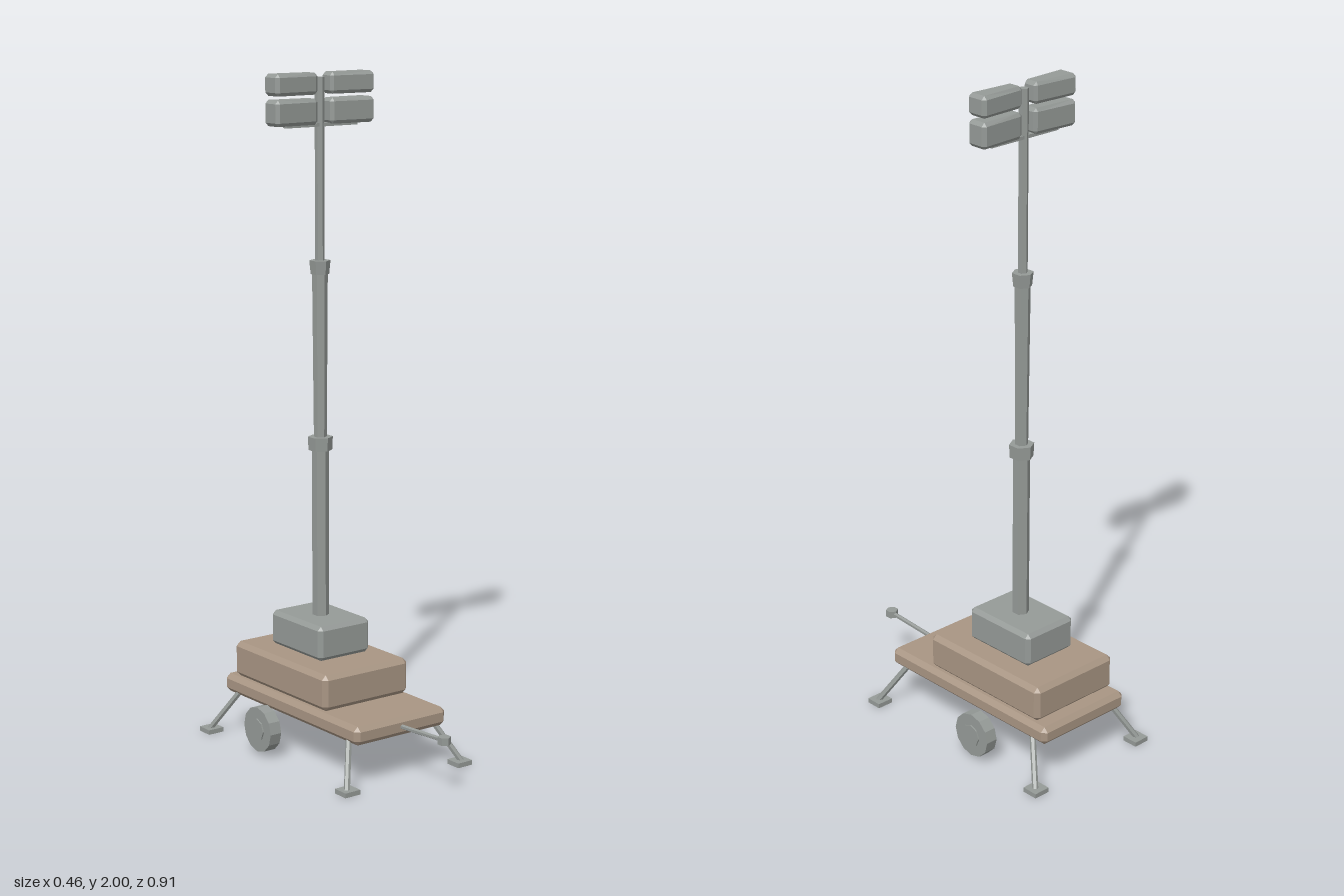
import * as THREE from 'three';
import { ConvexGeometry } from 'three/addons/geometries/ConvexGeometry.js';

const paint = new THREE.MeshStandardMaterial({ color: 0xa89583, flatShading: true });
paint.name = 'taupe paint';
const metal = new THREE.MeshStandardMaterial({ color: 0x959a97, flatShading: true });
metal.name = 'grey metal';

// Box with every edge cut at 45 degrees
function chamferBox(w, h, d, b) {
  const pts = [];
  for (const x of [-1, 1]) for (const y of [-1, 1]) for (const z of [-1, 1]) {
    const X = w / 2, Y = h / 2, Z = d / 2;
    pts.push(
      new THREE.Vector3(x * X, y * (Y - b), z * (Z - b)),
      new THREE.Vector3(x * (X - b), y * Y, z * (Z - b)),
      new THREE.Vector3(x * (X - b), y * (Y - b), z * Z));
  }
  return new ConvexGeometry(pts);
}

export function createModel() {
  const model = new THREE.Group();
  model.name = 'towable light tower';

  function add(name, geometry, material, x, y, z) {
    const mesh = new THREE.Mesh(geometry, material);
    mesh.name = name;
    mesh.position.set(x, y, z);
    model.add(mesh);
    return mesh;
  }

  // Straight bar between two points
  function bar(name, a, b, rA, rB, sides) {
    const from = new THREE.Vector3(...a), to = new THREE.Vector3(...b);
    const dir = to.clone().sub(from);
    const mid = from.clone().add(to).multiplyScalar(0.5);
    const mesh = add(name, new THREE.CylinderGeometry(rB, rA, dir.length(), sides), metal, mid.x, mid.y, mid.z);
    mesh.quaternion.setFromUnitVectors(new THREE.Vector3(0, 1, 0), dir.normalize());
    return mesh;
  }

  // Trailer body
  add('trailerDeck', chamferBox(0.33, 0.056, 0.665, 0.014), paint, 0, 0.153, -0.088);
  add('engineHousing', chamferBox(0.31, 0.108, 0.46, 0.014), paint, 0, 0.236, -0.15);
  add('mastBase', chamferBox(0.186, 0.104, 0.25, 0.012), metal, 0, 0.348, -0.151);

  // Telescopic mast: [name, bottom y, top y, bottom radius, top radius]
  const mastZ = -0.148;
  const sections = [
    ['lowerMast', 0.39, 0.91, 0.025, 0.025],
    ['lowerCollar', 0.9, 0.94, 0.035, 0.037],
    ['middleMast', 0.93, 1.43, 0.019, 0.023],
    ['upperCollar', 1.42, 1.46, 0.027, 0.031],
    ['upperMast', 1.45, 1.985, 0.014, 0.014],
  ];
  for (const [name, y0, y1, r0, r1] of sections) {
    add(name, new THREE.CylinderGeometry(r1, r0, y1 - y0, 6), metal, 0, (y0 + y1) / 2, mastZ);
  }

  // Lamp heads, thinner toward the mast
  add('lampCrossbar', new THREE.BoxGeometry(0.25, 0.01, 0.02), metal, 0.003, 1.85, mastZ);
  for (const side of [-1, 1]) {
    for (const [y, h] of [[1.968, 0.062], [1.889, 0.074]]) {
      const lamp = chamferBox(0.152, h, 0.068, 0.01);
      const p = lamp.attributes.position;
      for (let i = 0; i < p.count; i++) {
        const t = 0.5 - side * p.getX(i) / 0.152;
        p.setZ(i, p.getZ(i) * (1 - 0.3 * t));
      }
      lamp.computeVertexNormals();
      add('lampHead', lamp, metal, side * 0.098, y, -0.145);
    }
  }

  // Wheels with hubs on both faces
  for (const side of [-1, 1]) {
    const wheel = add('wheel', new THREE.CylinderGeometry(0.068, 0.068, 0.038, 12), metal, side * 0.199, 0.078, -0.17);
    const hub = add('wheelHub', new THREE.CylinderGeometry(0.034, 0.034, 0.048, 8), metal, side * 0.198, 0.078, -0.17);
    wheel.rotation.z = hub.rotation.z = Math.PI / 2;
  }

  // Outriggers and ground pads
  for (const side of [-1, 1]) {
    for (const [zTop, zFoot, zPad] of [[-0.36, -0.432, -0.431], [0.19, 0.258, 0.256]]) {
      bar('outriggerLeg', [side * 0.152, 0.13, zTop], [side * 0.21, 0.01, zFoot], 0.009, 0.009, 6);
      add('outriggerPad', new THREE.BoxGeometry(0.052, 0.014, 0.05), metal, side * 0.206, 0.007, zPad);
    }
  }

  // Drawbar and hitch
  bar('drawbar', [0, 0.153, 0.23], [0, 0.165, 0.435], 0.007, 0.007, 6);
  add('hitchCoupler', new THREE.CylinderGeometry(0.019, 0.019, 0.022, 6), metal, 0, 0.165, 0.434);

  return model;
}
